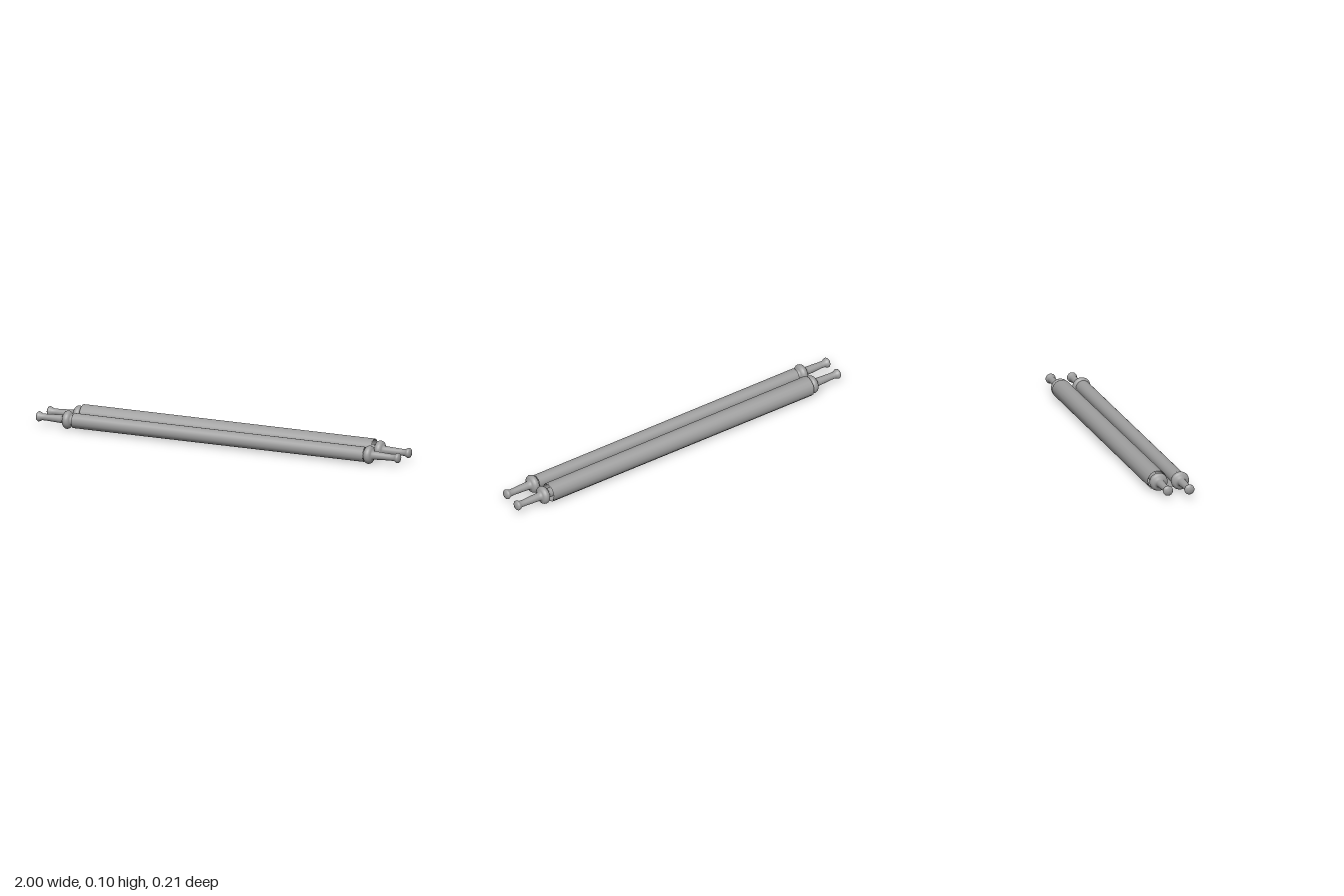
import * as THREE from 'three';

const material = new THREE.MeshStandardMaterial({ color: 0x9f9f9f, side: THREE.DoubleSide });

// Spiral cross-section as [z, y], wound inwards from the bottom; dir = +1 front, -1 back
function spiral(cz, cy, rOuter, rInner, startAngle, turns, dir, perTurn) {
  const n = Math.round(turns * perTurn);
  const pts = [];
  for (let i = 0; i <= n; i++) {
    const t = i / n;
    const a = startAngle + t * turns * Math.PI * 2;
    const r = rOuter + (rInner - rOuter) * t;
    pts.push([cz + dir * Math.sin(a) * r, cy - Math.cos(a) * r]);
  }
  return pts;
}

// Sheet swept along x between two cross-sections with equal point counts
function ribbon(left, right, halfLength) {
  const pos = [], index = [];
  left.forEach((p, i) => {
    pos.push(-halfLength, p[1], p[0], halfLength, right[i][1], right[i][0]);
    if (i > 0) {
      const a = 2 * i - 2;
      index.push(a, a + 2, a + 1, a + 1, a + 2, a + 3);
    }
  });
  const g = new THREE.BufferGeometry();
  g.setAttribute('position', new THREE.Float32BufferAttribute(pos, 3));
  g.setIndex(index);
  g.computeVertexNormals();
  return g;
}

// Paper section: back roll, flat strip underneath, front roll; the back roll tapers slightly
function paperSection(backRadius) {
  const back = spiral(-0.052, 0.05, backRadius, backRadius - 0.008, 0.62, 2.6, -1, 16).reverse();
  const front = spiral(0.059, 0.047, 0.039, 0.03, 0, 2.4, 1, 20);
  return [...back, ...front];
}

// Turned handle: [distance from centre, radius]
const handleProfile = [
  [0.79, 0.024], [0.802, 0.025], [0.804, 0.034], [0.809, 0.041], [0.816, 0.045],
  [0.823, 0.0465], [0.83, 0.045], [0.837, 0.041], [0.842, 0.034], [0.845, 0.022],
  [0.86, 0.021], [0.9, 0.019], [0.94, 0.017], [0.962, 0.0175], [0.97, 0.022],
  [0.977, 0.0255], [0.983, 0.0255], [0.988, 0.022], [0.993, 0.012], [0.994, 0],
];

function createRod(name, x, z) {
  const rod = new THREE.Group();
  rod.name = name;
  rod.position.set(x, 0.047, z);

  const core = new THREE.Mesh(new THREE.CylinderGeometry(0.024, 0.024, 1.6, 24), material);
  core.name = 'core';
  core.rotation.z = Math.PI / 2;
  rod.add(core);

  const points = handleProfile.map(([d, r]) => new THREE.Vector2(r, d));
  for (const side of [1, -1]) {
    const handle = new THREE.Mesh(new THREE.LatheGeometry(points, 28), material);
    handle.name = side > 0 ? 'leftHandle' : 'rightHandle';
    handle.rotation.z = -side * Math.PI / 2;
    rod.add(handle);
  }
  return rod;
}

export function createModel() {
  const scroll = new THREE.Group();
  scroll.name = 'scroll';

  // Rolled sheet joining both rods
  const paper = new THREE.Mesh(ribbon(paperSection(0.053), paperSection(0.05), 0.795), material);
  paper.name = 'rolledPaper';
  scroll.add(paper);

  // Rods, slightly offset lengthwise from each other
  scroll.add(createRod('frontRod', -0.006, 0.059));
  scroll.add(createRod('backRod', 0.006, -0.05));
  return scroll;
}
